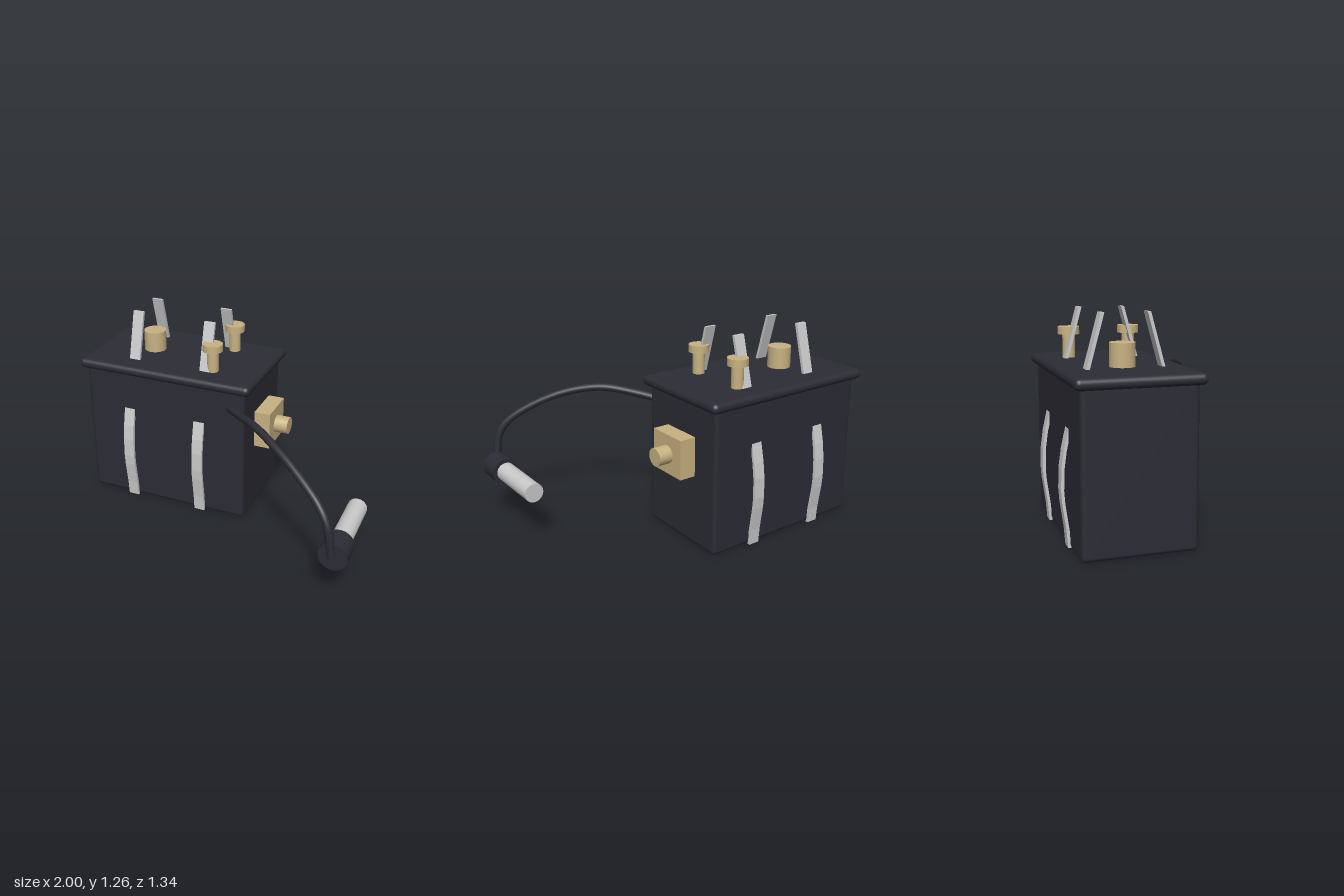
import * as THREE from 'three';
import { RoundedBoxGeometry } from 'three/addons/geometries/RoundedBoxGeometry.js';

const MID_Z = -0.302;

export function createModel() {
  const group = new THREE.Group();
  const mat = (name, color) => {
    const m = new THREE.MeshStandardMaterial({ color });
    m.name = name;
    return m;
  };
  const black = mat('blackCasing', 0x2b2c35);
  const brass = mat('brass', 0xc8b282);
  const steel = mat('steel', 0xcacaca);

  const add = (name, geometry, material, x = 0, y = 0, z = 0) => {
    const mesh = new THREE.Mesh(geometry, material);
    mesh.name = name;
    mesh.position.set(x, y, z);
    group.add(mesh);
    return mesh;
  };
  const cylinder = (r, h, sides = 32) => new THREE.CylinderGeometry(r, r, h, sides);

  // Metal strip of constant width along x, from a centre line of [z, y] points
  const strip = (line, width, thick) => {
    const side = (s) => line.map(([z, y]) => new THREE.Vector2(z + s * thick / 2, y));
    const shape = new THREE.Shape([...side(1), ...side(-1).reverse()]);
    const geo = new THREE.ExtrudeGeometry(shape, { depth: width, bevelEnabled: false });
    geo.translate(0, 0, -width / 2);
    geo.rotateY(-Math.PI / 2);
    return geo;
  };

  // Casing and overhanging rounded lid
  add('casing', new RoundedBoxGeometry(1.1, 0.915, 0.638, 4, 0.025), black, -0.41, 0.4625, MID_Z);
  add('lid', new RoundedBoxGeometry(1.18, 0.064, 0.706, 5, 0.031), black, -0.41, 0.931, MID_Z);

  // Bowed side springs and leaning top blades, mirrored front to back
  const bow = [[0.322, 0], [0.33, 0.1], [0.351, 0.25], [0.356, 0.32],
    [0.352, 0.44], [0.338, 0.54], [0.312, 0.655]];
  const blade = [[0.213, 0.95], [0.128, 1.26]];
  for (const x of [-0.66, -0.166]) {
    for (const s of [1, -1]) {
      const spring = add('sideSpring', strip(bow, 0.072, 0.017), steel, x, 0, MID_Z);
      const contact = add('topBlade', strip(blade, 0.072, 0.019), steel, x, 0, MID_Z);
      if (s < 0) spring.rotation.y = contact.rotation.y = Math.PI;
    }
  }

  // Brass terminals on the lid
  add('wideTerminal', cylinder(0.072, 0.14), brass, -0.62, 1.025, MID_Z);
  for (const z of [-0.12, -0.482]) {
    add('terminalStem', cylinder(0.037, 0.16), brass, -0.125, 1.025, z);
    add('terminalHead', cylinder(0.063, 0.045), brass, -0.125, 1.1215, z);
  }

  // Side block with its stub
  add('sideBlock', new THREE.BoxGeometry(0.115, 0.245, 0.263), brass, 0.1875, 0.578, MID_Z);
  add('sideStub', cylinder(0.056, 0.1, 16), brass, 0.283, 0.578, MID_Z).rotation.z = Math.PI / 2;

  // Drooping cable
  const path = new THREE.CatmullRomCurve3([
    [0.03, 0.78, -0.01], [0.16, 0.82, 0.13], [0.32, 0.851, 0.28], [0.48, 0.825, 0.405],
    [0.64, 0.76, 0.51], [0.81, 0.645, 0.61], [0.872, 0.55, 0.642], [0.905, 0.35, 0.638],
  ].map((p) => new THREE.Vector3(...p)));
  add('cable', new THREE.TubeGeometry(path, 64, 0.024, 12), black);

  // Plug: black grip and two-piece steel shaft along z
  const plugPart = (name, r, z0, z1, material) => {
    add(name, cylinder(r, z1 - z0), material, 0.912, 0.353, (z0 + z1) / 2).rotation.x = Math.PI / 2;
  };
  plugPart('plugGrip', 0.085, 0.49, 0.636, black);
  plugPart('plugShaft', 0.06, 0.245, 0.5, steel);
  plugPart('plugTip', 0.0595, 0.11, 0.245, steel);

  return group;
}
